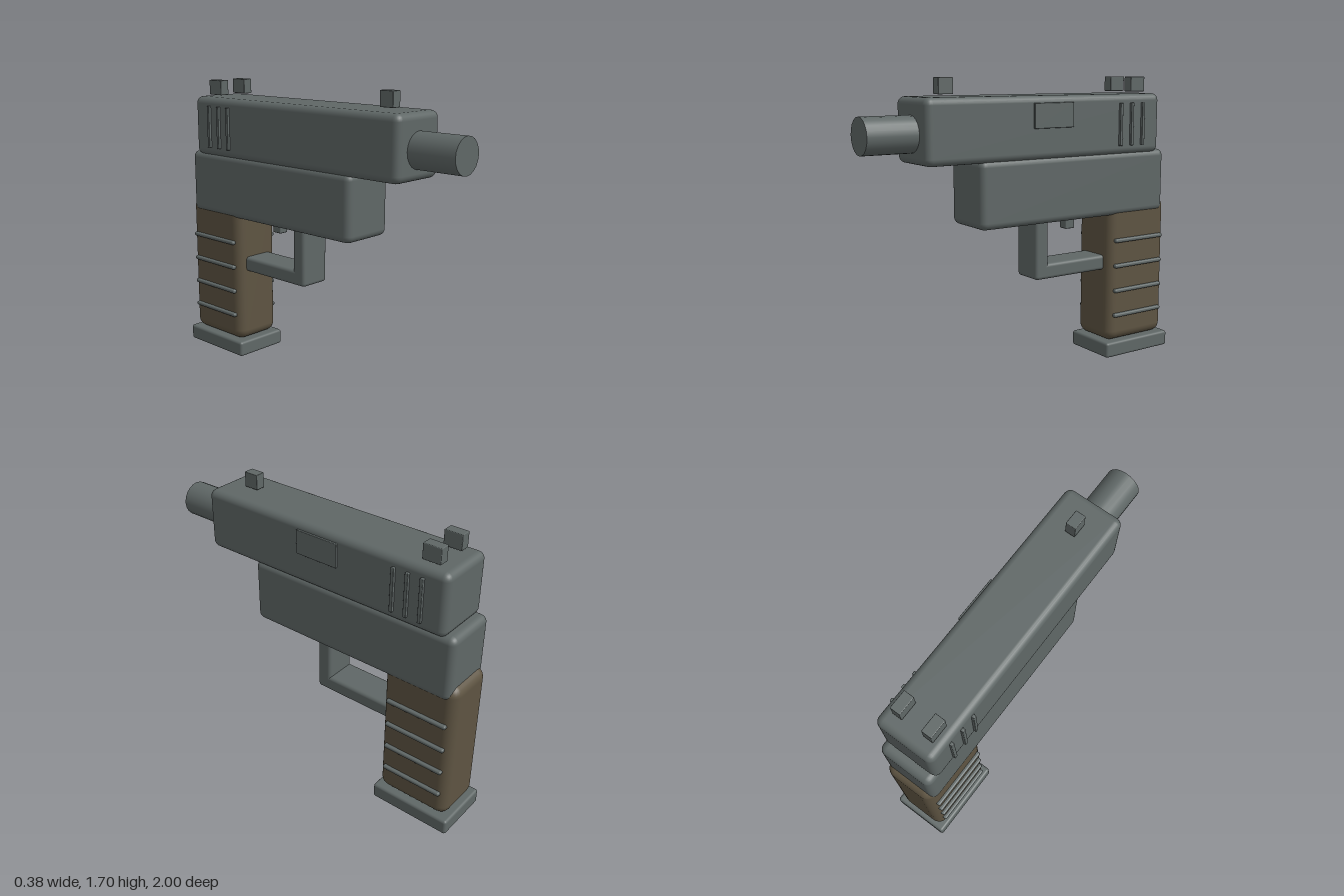
import * as THREE from 'three';
import { RoundedBoxGeometry } from 'three/addons/geometries/RoundedBoxGeometry.js';

export function createModel() {
  const model = new THREE.Group();
  model.name = 'pistol';

  const steel = new THREE.MeshStandardMaterial({ color: 0x5f6766 });
  steel.name = 'grey steel';
  const gripBrown = new THREE.MeshStandardMaterial({ color: 0x5e5442 });
  gripBrown.name = 'brown grip';

  // Rounded block given by its [min, max] extents along x, y and z
  function block(name, [x0, x1], [y0, y1], [z0, z1], radius, material = steel) {
    const geometry = new RoundedBoxGeometry(x1 - x0, y1 - y0, z1 - z0, 3, radius);
    const mesh = new THREE.Mesh(geometry, material);
    mesh.position.set((x0 + x1) / 2, (y0 + y1) / 2, (z0 + z1) / 2);
    mesh.name = name;
    model.add(mesh);
    return mesh;
  }

  // Main body
  block('slide', [-0.175, 0.175], [1.25, 1.605], [-0.885, 0.71], 0.04);
  block('frame', [-0.165, 0.165], [0.883, 1.266], [-0.942, 0.38], 0.04);
  block('grip', [-0.155, 0.155], [0.094, 0.966], [-0.974, -0.524], 0.06, gripBrown);
  block('basePlate', [-0.174, 0.174], [0, 0.094], [-1, -0.503], 0.016);

  // Barrel
  const barrel = new THREE.Mesh(new THREE.CylinderGeometry(0.1, 0.1, 0.5, 20), steel);
  barrel.rotation.x = Math.PI / 2;
  barrel.position.set(0, 1.412, 0.75);
  barrel.name = 'barrel';
  model.add(barrel);

  // Trigger and its guard
  block('guardFront', [-0.097, 0.097], [0.542, 0.93], [-0.115, -0.025], 0.02);
  block('guardBottom', [-0.097, 0.097], [0.542, 0.633], [-0.56, -0.025], 0.02);
  block('trigger', [-0.03, 0.03], [0.81, 0.93], [-0.353, -0.287], 0.006);

  // Sights
  block('frontSight', [-0.03, 0.03], [1.616, 1.704], [0.468, 0.558], 0.004);
  for (const x of [-0.093, 0.093]) {
    block('rearSight', [x - 0.03, x + 0.03], [1.616, 1.704], [-0.802, -0.695], 0.004);
  }

  // Ejection port on the left side
  block('ejectionPort', [0.15, 0.187], [1.425, 1.565], [-0.22, 0.048], 0.004);

  // Slide serrations and grip ridges on both sides
  for (const side of [-1, 1]) {
    for (const z of [-0.572, -0.656, -0.742]) {
      const x = side * 0.176;
      block('serration', [x - 0.015, x + 0.015], [1.302, 1.553], [z - 0.01, z + 0.01], 0.004);
    }
    for (const y of [0.26, 0.415, 0.57, 0.727]) {
      const x = side * 0.16;
      block('gripRidge', [x - 0.015, x + 0.015], [y - 0.012, y + 0.012], [-0.936, -0.561], 0.01);
    }
  }

  return model;
}
